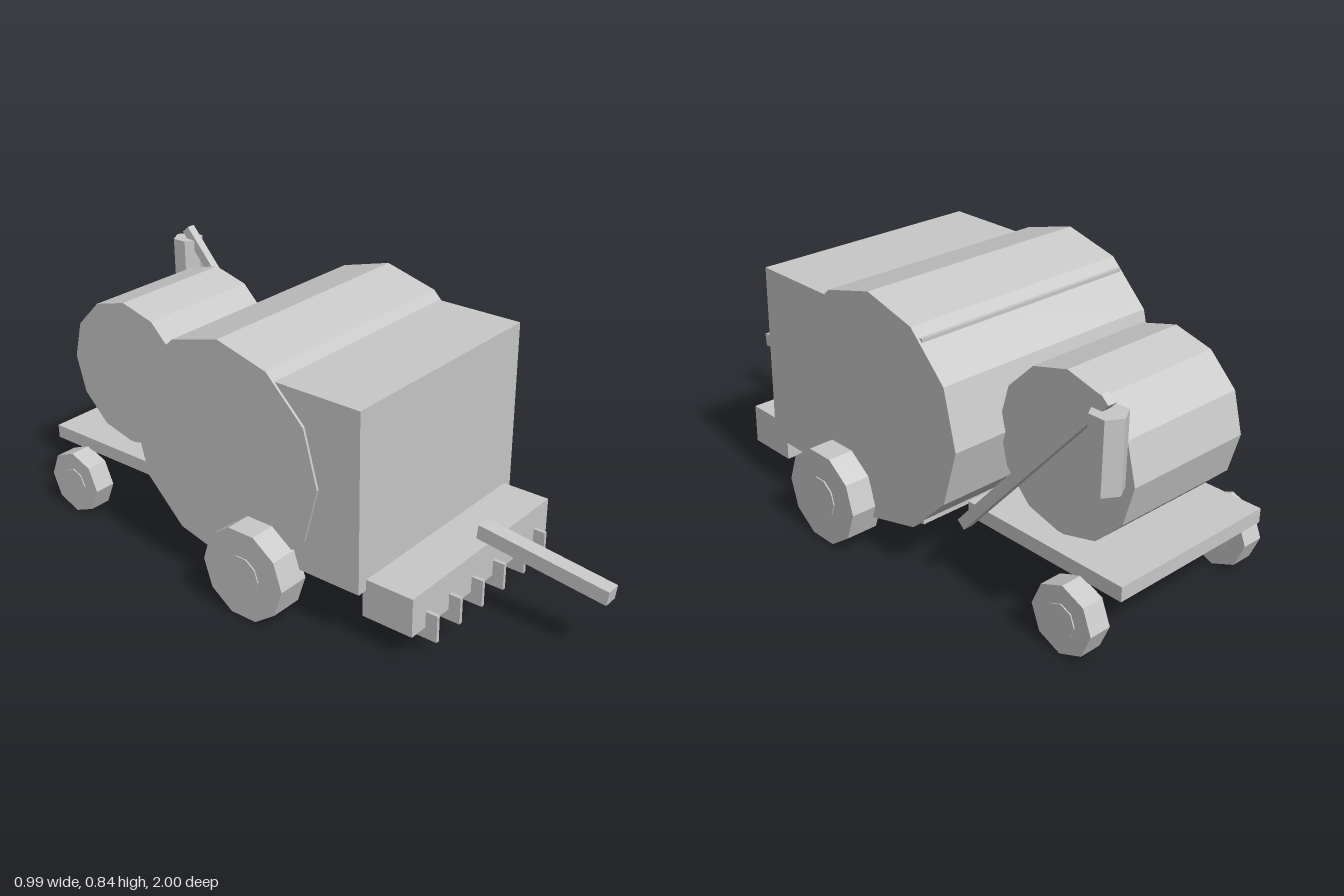
import * as THREE from 'three';

export function createModel() {
  const model = new THREE.Group();
  model.name = 'baler';
  const grey = new THREE.MeshStandardMaterial({ color: 0xc8c8c8, flatShading: true });
  grey.name = 'light grey';

  function add(name, geometry, x, y, z, parent = model) {
    const mesh = new THREE.Mesh(geometry, grey);
    mesh.name = name;
    mesh.position.set(x, y, z);
    parent.add(mesh);
    return mesh;
  }
  // box given by its extents
  function box(name, x0, x1, y0, y1, z0, z1) {
    return add(name, new THREE.BoxGeometry(x1 - x0, y1 - y0, z1 - z0),
      (x0 + x1) / 2, (y0 + y1) / 2, (z0 + z1) / 2);
  }
  // faceted cylinder lying along x
  function roller(name, radius, width, sides, x, y, z, parent) {
    const g = new THREE.CylinderGeometry(radius, radius, width, sides).rotateZ(Math.PI / 2);
    return add(name, g, x, y, z, parent);
  }
  // square bar running between two points in a plane of constant x
  function bar(name, x, width, thick, [z0, y0], [z1, y1]) {
    const length = Math.hypot(z1 - z0, y1 - y0);
    const mesh = add(name, new THREE.BoxGeometry(width, thick, length), x, (y0 + y1) / 2, (z0 + z1) / 2);
    mesh.rotation.x = -Math.atan2(y1 - y0, z1 - z0);
    return mesh;
  }
  function wheel(name, radius, width, sides, hubRadius, x, y, z) {
    const group = new THREE.Group();
    group.name = name;
    group.position.set(x, y, z);
    roller('tyre', radius, width, sides, 0, 0, 0, group);
    roller('hub', hubRadius, width + 0.008, sides, 0, 0, 0, group);
    model.add(group);
  }

  // body and baling chamber
  box('body', -0.4, 0.4, 0.187, 0.77, -0.32, 0.41);
  roller('chamber', 0.365, 0.816, 12, 0, 0.48, -0.1);

  // pickup header with tines
  box('pickup', -0.365, 0.365, 0.095, 0.223, 0.398, 0.574);
  for (let i = 0; i < 6; i++) {
    const x = -0.293 + i * 0.1172;
    box('tine', x - 0.006, x + 0.006, 0.058, 0.148, 0.545, 0.614);
  }
  bar('drawbar', 0, 0.05, 0.047, [0.561, 0.28], [0.997, 0.224]);

  // rear platform carrying a bale
  box('platform', -0.295, 0.295, 0.21, 0.256, -0.98, -0.395);
  roller('bale', 0.25, 0.44, 12, 0, 0.503, -0.69);

  // wheels
  for (const s of [-1, 1]) {
    wheel('mainWheel', 0.154, 0.108, 10, 0.065, s * 0.439, 0.156, 0.046);
    wheel('rearWheel', 0.109, 0.074, 8, 0.052, s * 0.328, 0.111, -0.835);
  }

  // side arm with a hanging canister
  bar('arm', 0.345, 0.03, 0.034, [-0.434, 0.222], [-0.944, 0.804]);
  add('canister', new THREE.CylinderGeometry(0.053, 0.053, 0.215, 6), 0.345, 0.663, -0.947);

  return model;
}
